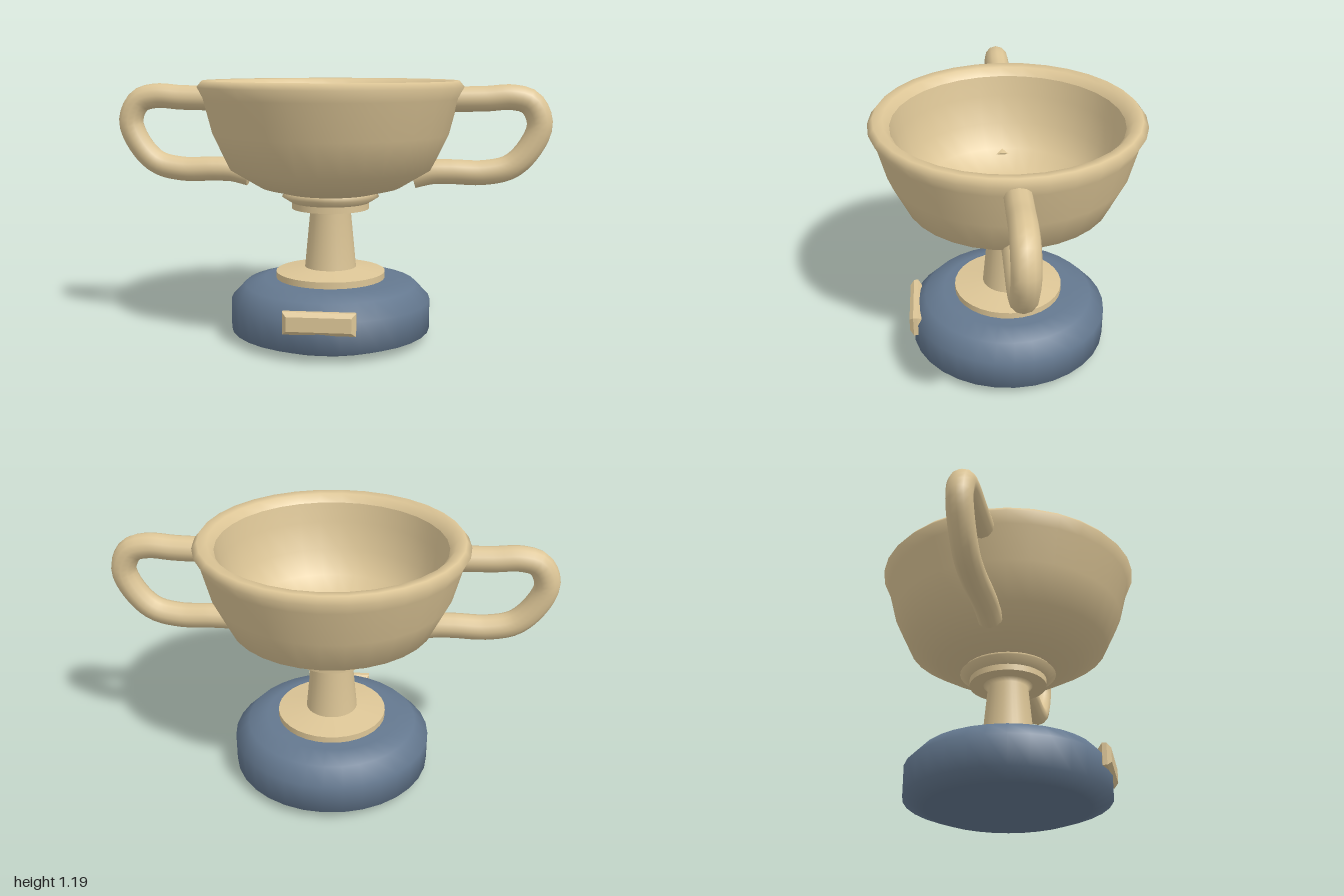
import * as THREE from 'three';

const gold = new THREE.MeshStandardMaterial({ color: 0xdcc596 });
gold.name = 'pale gold';
const blue = new THREE.MeshStandardMaterial({ color: 0x64788f });
blue.name = 'slate blue';

const v2 = (pts) => pts.map(([x, y]) => new THREE.Vector2(x, y));

// Turned part: each profile is smooth, with sharp edges between profiles
function turned(name, material, profiles) {
  const group = new THREE.Group();
  group.name = name;
  profiles.forEach((pts, i) => {
    const mesh = new THREE.Mesh(new THREE.LatheGeometry(v2(pts), 32), material);
    mesh.name = `${name}Section${i + 1}`;
    group.add(mesh);
  });
  return group;
}

// Looped handle with closed ends; side is +1 or -1
function handle(name, side) {
  const group = new THREE.Group();
  group.name = name;
  const path = new THREE.CatmullRomCurve3([
    [0.545, 1.105], [0.70, 1.108], [0.82, 1.115], [0.90, 1.09], [0.942, 1.0],
    [0.905, 0.895], [0.82, 0.805], [0.70, 0.775], [0.55, 0.777], [0.46, 0.774], [0.38, 0.755],
  ].map(([x, y]) => new THREE.Vector3(x * side, y, 0)));
  const tube = new THREE.Mesh(new THREE.TubeGeometry(path, 40, 0.057, 12), gold);
  tube.name = name + 'Loop';
  group.add(tube);
  for (const t of [0, 1]) {
    const cap = new THREE.Mesh(new THREE.CircleGeometry(0.057, 12), gold);
    cap.name = name + 'End';
    const p = path.getPointAt(t);
    const dir = path.getTangentAt(t).multiplyScalar(t ? 1 : -1);
    cap.position.copy(p);
    cap.quaternion.setFromUnitVectors(new THREE.Vector3(0, 0, 1), dir);
    group.add(cap);
  }
  return group;
}

export function createModel() {
  const model = new THREE.Group();
  model.name = 'trophyCup';

  // Rounded plinth
  model.add(turned('plinth', blue, [
    [[0, 0], [0.37, 0.004], [0.465, 0.04], [0.465, 0.18], [0.40, 0.248], [0.31, 0.275], [0, 0.275]],
  ]));

  // Foot, tapering stem and collar
  model.add(turned('stem', gold, [
    [[0.255, 0.272], [0.255, 0.305]],
    [[0.255, 0.305], [0.12, 0.325]],
    [[0.12, 0.325], [0.095, 0.585], [0.115, 0.601]],
    [[0.09, 0.601], [0.18, 0.601]],
    [[0.18, 0.601], [0.18, 0.63]],
    [[0.18, 0.63], [0.225, 0.658], [0.205, 0.68]],
  ]));

  // Bowl: outside with rolled rim, then inside
  model.add(turned('bowl', gold, [
    [[0, 0.675], [0.21, 0.676], [0.325, 0.705], [0.465, 0.79], [0.54, 0.95], [0.58, 1.11],
      [0.606, 1.16], [0.582, 1.189], [0.54, 1.185], [0.512, 1.15]],
    [[0.512, 1.15], [0.495, 1.06], [0.465, 0.93], [0.40, 0.82], [0.28, 0.745], [0.15, 0.72], [0, 0.715]],
  ]));

  // Pair of handles
  model.add(handle('leftHandle', 1), handle('rightHandle', -1));

  // Bevelled plaque on the front of the plinth
  const face = new THREE.Shape(v2([[-0.14, -0.032], [0.14, -0.032], [0.14, 0.032], [-0.14, 0.032]]));
  const plaque = new THREE.Mesh(new THREE.ExtrudeGeometry(face, {
    depth: 0.02, bevelEnabled: true, bevelThickness: 0.018, bevelSize: 0.018, bevelSegments: 1,
  }), gold);
  plaque.name = 'plaque';
  plaque.position.set(0, 0.174, 0.438);
  model.add(plaque);

  return model;
}
